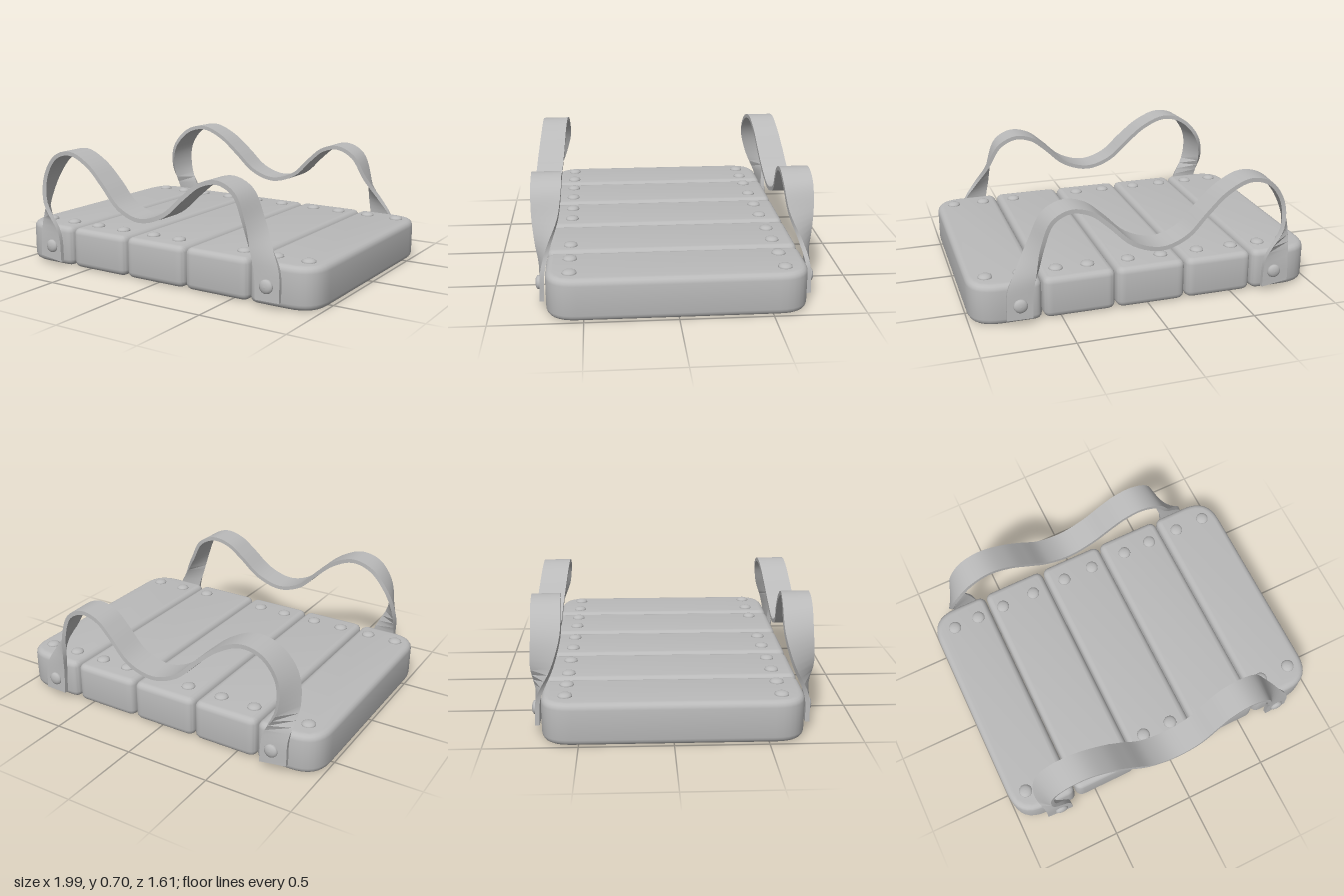
import * as THREE from 'three';
import { toCreasedNormals } from 'three/addons/utils/BufferGeometryUtils.js';

const grey = new THREE.MeshStandardMaterial({ color: 0xbababa });
grey.name = 'plain grey';

const TOP = 0.235, BEVEL = 0.035;

function addMesh(parent, geometry, name) {
  const mesh = new THREE.Mesh(geometry, grey);
  mesh.name = name;
  parent.add(mesh);
  return mesh;
}

// Plank with softened edges; rl and rr are the plan corner radii of its two sides
function plankGeometry(x0, x1, z, rl, rr) {
  const s = new THREE.Shape();
  s.moveTo(x0 + rl, -z);
  s.lineTo(x1 - rr, -z);
  s.quadraticCurveTo(x1, -z, x1, -z + rr);
  s.lineTo(x1, z - rr);
  s.quadraticCurveTo(x1, z, x1 - rr, z);
  s.lineTo(x0 + rl, z);
  s.quadraticCurveTo(x0, z, x0, z - rl);
  s.lineTo(x0, -z + rl);
  s.quadraticCurveTo(x0, -z, x0 + rl, -z);
  const g = new THREE.ExtrudeGeometry(s, {
    depth: TOP - 2 * BEVEL, bevelEnabled: true, bevelSize: BEVEL,
    bevelThickness: BEVEL, bevelOffset: -BEVEL, bevelSegments: 4, curveSegments: 8,
  });
  g.rotateX(-Math.PI / 2).translate(0, BEVEL, 0);
  return toCreasedNormals(g, 0.7);
}

// Low domed rivet head, axis along y
function rivetGeometry() {
  const pts = [[0.036, -0.02], [0.039, 0], [0.037, 0.008], [0.026, 0.015], [0.013, 0.018], [0, 0.019]];
  return new THREE.LatheGeometry(pts.map(p => new THREE.Vector2(...p)), 20);
}

// Strap stations: inner edge x, y, z, then outer edge x, y, z
const STRAP = [
  [-0.83, 0.05, 0.725, -0.67, 0.03, 0.73],
  [-0.83, 0.2, 0.715, -0.685, 0.2, 0.73],
  [-0.845, 0.38, 0.635, -0.77, 0.38, 0.75],
  [-0.8, 0.54, 0.59, -0.765, 0.54, 0.745],
  [-0.69, 0.66, 0.59, -0.68, 0.66, 0.75],
  [-0.56, 0.692, 0.6, -0.56, 0.692, 0.755],
  [-0.42, 0.635, 0.61, -0.42, 0.635, 0.765],
  [-0.3, 0.535, 0.62, -0.3, 0.535, 0.78],
  [-0.18, 0.425, 0.635, -0.18, 0.425, 0.795],
  [-0.03, 0.378, 0.64, -0.03, 0.378, 0.805],
  [0.13, 0.425, 0.64, 0.13, 0.425, 0.805],
  [0.26, 0.54, 0.625, 0.26, 0.54, 0.79],
  [0.35, 0.61, 0.615, 0.35, 0.61, 0.78],
  [0.46, 0.635, 0.61, 0.46, 0.635, 0.775],
  [0.57, 0.585, 0.61, 0.56, 0.585, 0.775],
  [0.65, 0.45, 0.63, 0.615, 0.45, 0.77],
  [0.74, 0.31, 0.685, 0.64, 0.31, 0.75],
  [0.8, 0.2, 0.715, 0.66, 0.2, 0.73],
  [0.81, 0.04, 0.725, 0.67, 0.04, 0.73],
];

// Ribbon of even thickness swept between the two edge curves
function strapGeometry(side) {
  const edge = o => new THREE.CatmullRomCurve3(
    STRAP.map(p => new THREE.Vector3(p[o], p[o + 1], p[o + 2] * side)));
  const inner = edge(0), outer = edge(3);
  const steps = 90, half = 0.012, sections = [];
  for (let i = 0; i <= steps; i++) {
    const t = i / steps;
    const a = inner.getPoint(t), b = outer.getPoint(t);
    const tangent = inner.getTangent(t).add(outer.getTangent(t));
    const n = b.clone().sub(a).cross(tangent).setLength(half);
    sections.push([a.clone().add(n), b.clone().add(n), b.clone().sub(n), a.clone().sub(n)]);
  }
  const pos = [];
  const quad = (a, b, c, d) => [a, b, c, a, c, d].forEach(v => pos.push(v.x, v.y, v.z));
  for (let i = 0; i < steps; i++) {
    const p = sections[i], q = sections[i + 1];
    for (let k = 0; k < 4; k++) {
      const m = (k + 1) % 4;
      quad(p[k], p[m], q[m], q[k]);
    }
  }
  const s = sections[0], e = sections[steps];
  quad(s[0], s[3], s[2], s[1]);
  quad(e[0], e[1], e[2], e[3]);
  const g = new THREE.BufferGeometry();
  g.setAttribute('position', new THREE.Float32BufferAttribute(pos, 3));
  return toCreasedNormals(g, 0.7);
}

export function createModel() {
  const model = new THREE.Group();
  model.name = 'plankTray';

  // Five planks, the outer two with wide rounded corners
  const planks = new THREE.Group();
  planks.name = 'planks';
  model.add(planks);
  const cuts = [-0.995, -0.62, -0.22, 0.187, 0.6, 0.995];
  for (let i = 0; i < 5; i++) {
    const x0 = cuts[i] + (i > 0 ? 0.004 : 0), x1 = cuts[i + 1] - (i < 4 ? 0.004 : 0);
    addMesh(planks, plankGeometry(x0, x1, 0.7, i === 0 ? 0.17 : 0.05, i === 4 ? 0.17 : 0.05), 'plank');
  }

  // Rivets along both plank ends
  const rivet = rivetGeometry();
  const rivets = new THREE.Group();
  rivets.name = 'plankRivets';
  model.add(rivets);
  const rows = [
    [-0.57, [-0.87, -0.71, -0.54, -0.33, -0.11, 0.085, 0.32, 0.5, 0.7, 0.89]],
    [0.57, [-0.89, -0.71, -0.52, -0.33, -0.11, 0.07, 0.5, 0.7, 0.89]],
  ];
  for (const [z, xs] of rows) {
    for (const x of xs) addMesh(rivets, rivet, 'plankRivet').position.set(x, TOP, z);
  }

  // A wavy strap handle on the front and back, riveted at each foot
  for (const side of [1, -1]) {
    const handle = new THREE.Group();
    handle.name = side > 0 ? 'frontHandle' : 'backHandle';
    model.add(handle);
    addMesh(handle, strapGeometry(side), 'strap');
    for (const x of [-0.74, 0.735]) {
      const r = addMesh(handle, rivet, 'strapRivet');
      r.position.set(x, 0.12, 0.74 * side);
      r.rotation.x = side * Math.PI / 2;
    }
  }
  return model;
}
